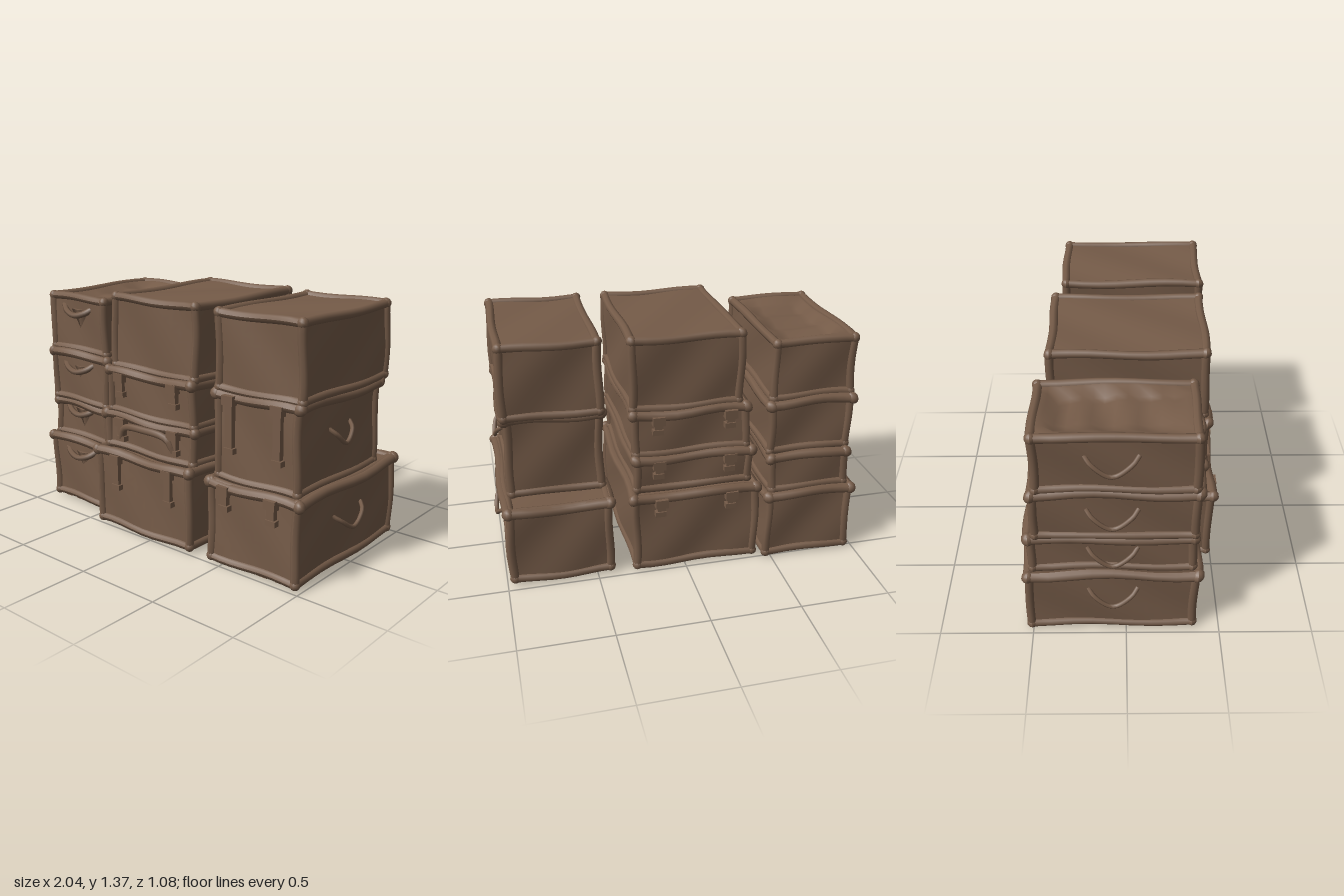
import * as THREE from 'three';
import { mergeGeometries } from 'three/addons/utils/BufferGeometryUtils.js';

const leather = new THREE.MeshStandardMaterial({ color: 0x755b48, side: THREE.DoubleSide });
leather.name = 'worn brown leather';

const V = (x, y, z) => new THREE.Vector3(x, y, z);

// gentle dents, a smooth rule of position so neighbouring parts stay joined
function dent(geo, amount = 0.006) {
  const p = geo.attributes.position;
  for (let i = 0; i < p.count; i++) {
    const x = p.getX(i), y = p.getY(i), z = p.getZ(i);
    p.setXYZ(i,
      x + amount * Math.sin(y * 13 + z * 9 + x * 3),
      Math.max(0, y + amount * Math.sin(x * 11 + z * 8 + 1)),
      z + amount * Math.sin(x * 12 + y * 10 + 2));
  }
  geo.computeVertexNormals();
  return geo;
}

function add(group, name, geo) {
  const m = new THREE.Mesh(geo, leather);
  m.name = name;
  group.add(m);
  return m;
}

// round bar between two points
function bar(a, b, r) {
  const d = b.clone().sub(a);
  const g = new THREE.CylinderGeometry(r, r, d.length(), 8, 8);
  g.applyQuaternion(new THREE.Quaternion().setFromUnitVectors(V(0, 1, 0), d.normalize()));
  return g.translate((a.x + b.x) / 2, (a.y + b.y) / 2, (a.z + b.z) / 2);
}

const box = (w, h, d, x, y, z) => new THREE.BoxGeometry(w, h, d, 3, 3, 3).translate(x, y, z);

const tube = (pts, r) => new THREE.TubeGeometry(new THREE.CatmullRomCurve3(pts), 16, r, 6);

// trunk: panelled body, rounded edge rims, corner caps, lid band
function trunk(parent, name, [x0, x1], [y0, y1], [z0, z1], sunkenTop) {
  const g = new THREE.Group();
  g.name = name;
  parent.add(g);
  const w = x1 - x0, h = y1 - y0, d = z1 - z0;
  const cx = (x0 + x1) / 2, cy = (y0 + y1) / 2, cz = (z0 + z1) / 2;
  const inset = 0.018, r = 0.024;
  const body = new THREE.BoxGeometry(w - 2 * inset, h - 2 * inset, d - 2 * inset, 10, 8, 14);
  if (sunkenTop) {
    const p = body.attributes.position;
    for (let i = 0; i < p.count; i++) {
      const x = p.getX(i), z = p.getZ(i);
      if (p.getY(i) > h / 2 - inset - 0.001 && Math.abs(x) < w * 0.28 && Math.abs(z) < d * 0.36)
        p.setY(i, p.getY(i) - 0.03 + 0.012 * Math.sin(z * 30 + x * 6));
    }
  }
  add(g, 'body', dent(body.translate(cx, cy, cz), 0.007));

  const X = [x0 + r, x1 - r], Y = [y0 + r, y1 - r], Z = [z0 + r, z1 - r];
  const parts = [];
  for (const i of [0, 1]) for (const j of [0, 1]) {
    parts.push(bar(V(X[0], Y[i], Z[j]), V(X[1], Y[i], Z[j]), r));
    parts.push(bar(V(X[i], Y[0], Z[j]), V(X[i], Y[1], Z[j]), r));
    parts.push(bar(V(X[i], Y[j], Z[0]), V(X[i], Y[j], Z[1]), r));
    for (const k of [0, 1])
      parts.push(new THREE.SphereGeometry(r * 1.2, 10, 8).translate(X[i], Y[j], Z[k]));
  }
  add(g, 'edgeRims', dent(mergeGeometries(parts), 0.005));
  return g;
}

// protruding band where a lid meets the trunk above
function lidBand(group, [x0, x1], y, [z0, z1]) {
  const r = 0.028, c = [V(x0, y, z0), V(x1, y, z0), V(x1, y, z1), V(x0, y, z1)];
  const parts = c.map((a, i) => bar(a, c[(i + 1) % 4], r));
  c.forEach(a => parts.push(new THREE.SphereGeometry(r * 1.2, 10, 8).translate(a.x, a.y, a.z)));
  add(group, 'lidBand', dent(mergeGeometries(parts), 0.008));
}

// sagging handle on a side wall, s = +1 or -1
function sideHandle(group, x, y, z, s, half = 0.13) {
  add(group, 'sideHandle', tube([
    V(x - s * 0.02, y + 0.05, z - half), V(x + s * 0.015, y + 0.02, z - half * 0.75),
    V(x + s * 0.03, y - 0.04, z), V(x + s * 0.015, y + 0.02, z + half * 0.75),
    V(x - s * 0.02, y + 0.05, z + half)], 0.012));
}

// front handle: raised grip with a pointed flap beneath
function frontHandle(group, x, y, z) {
  add(group, 'frontHandle', tube([
    V(x - 0.13, y + 0.04, z - 0.03), V(x - 0.08, y + 0.01, z),
    V(x, y - 0.01, z + 0.015), V(x + 0.08, y + 0.01, z), V(x + 0.12, y + 0.04, z - 0.03)], 0.018));
  const flap = new THREE.ConeGeometry(0.075, 0.11, 4, 1).scale(1, 1, 0.3);
  flap.rotateX(Math.PI).translate(x + 0.02, y - 0.03, z - 0.015);
  add(group, 'handleFlap', flap);
}

// hanging buckle strap on a front or back wall
function buckle(group, x, yTop, z, length, s = 1) {
  add(group, 'buckleStrap', mergeGeometries([
    box(0.045, length, 0.03, x, yTop - length / 2, z),
    box(0.07, 0.05, 0.04, x, yTop - 0.025, z + s * 0.008),
    box(0.06, 0.03, 0.035, x + 0.005, yTop - length + 0.01, z + s * 0.005)]));
}

// floor slats running front to back
function slats(group, [x0, x1], [z0, z1]) {
  const n = 4, step = (x1 - x0) / (n + 1);
  for (let i = 1; i <= n; i++)
    add(group, 'floorSlat', box(step * 0.55, 0.025, z1 - z0 - 0.06, x0 + step * i, 0.018, (z0 + z1) / 2));
}

export function createModel() {
  const model = new THREE.Group();
  model.name = 'trunkStacks';

  // left-hand column as seen from the front: four narrow trunks
  const a = new THREE.Group();
  a.name = 'narrowStack';
  model.add(a);
  const rowsA = [
    [[-0.97, -0.45], [0.01, 0.42], [-0.53, 0.38]],
    [[-0.94, -0.47], [0.41, 0.65], [-0.51, 0.36]],
    [[-0.95, -0.46], [0.64, 0.96], [-0.48, 0.37]],
    [[-0.955, -0.47], [0.95, 1.305], [-0.465, 0.36]],
  ];
  rowsA.forEach(([x, y, z], i) => {
    const t = trunk(a, 'narrowTrunk' + (i + 1), x, y, z, i === 3);
    const hy = [0.31, 0.58, 0.85, 1.19][i];
    frontHandle(t, -0.72, hy, z[1] - 0.005);
    sideHandle(t, x[0], hy - 0.06, -0.07, -1);
    if (i < 3) lidBand(t, [x[0] + 0.015, x[1] - 0.015], y[1] - 0.02, [z[0] + 0.015, z[1] - 0.015]);
  });
  slats(a, rowsA[0][0], rowsA[0][2]);

  // middle column: two tall trunks with two flat cases between
  const b = new THREE.Group();
  b.name = 'wideStack';
  model.add(b);
  const rowsB = [
    [[-0.43, 0.30], [0.005, 0.47], [-0.48, 0.50]],
    [[-0.40, 0.285], [0.46, 0.68], [-0.43, 0.45]],
    [[-0.375, 0.285], [0.67, 0.94], [-0.42, 0.45]],
    [[-0.34, 0.295], [0.93, 1.36], [-0.41, 0.44]],
  ];
  rowsB.forEach(([x, y, z], i) => {
    const t = trunk(b, 'wideTrunk' + (i + 1), x, y, z);
    if (i < 3) {
      lidBand(t, [x[0] + 0.015, x[1] - 0.015], y[1] - 0.02, [z[0] + 0.015, z[1] - 0.015]);
      sideHandle(t, x[0], (y[0] + y[1]) / 2, 0, -1);
      for (const bx of [-0.26, 0.14]) {
        buckle(t, bx, y[1] - 0.02, z[1] - 0.005, i ? 0.13 : 0.2);
        buckle(t, bx, y[1] - 0.02, z[0] + 0.005, 0.1, -1);
      }
    }
  });
  add(b, 'frontGrip', tube([
    V(-0.26, 0.54, 0.45), V(-0.22, 0.61, 0.465), V(-0.06, 0.63, 0.475),
    V(0.1, 0.61, 0.465), V(0.14, 0.54, 0.45)], 0.02));
  slats(b, rowsB[0][0], rowsB[0][2]);

  // right-hand column: deep base trunk and two shorter ones
  const c = new THREE.Group();
  c.name = 'steppedStack';
  model.add(c);
  const rowsC = [
    [[0.405, 0.985], [0.01, 0.48], [-0.475, 0.49]],
    [[0.42, 0.955], [0.46, 0.95], [-0.315, 0.45]],
    [[0.42, 0.97], [0.93, 1.36], [-0.365, 0.45]],
  ];
  rowsC.forEach(([x, y, z], i) => {
    const t = trunk(c, 'steppedTrunk' + (i + 1), x, y, z);
    if (i < 2) {
      sideHandle(t, x[1], [0.25, 0.72][i], [0.01, 0.07][i], 1, [0.14, 0.1][i]);
      sideHandle(t, x[0], [0.25, 0.72][i], 0, -1, 0.1);
      lidBand(t, [x[0] + 0.015, x[1] - 0.01], y[1] - 0.03, [z[0] + 0.015, z[1] - 0.015]);
      for (const bx of [0.53, 0.83]) buckle(t, bx, y[1] - 0.02, z[1], i ? 0.3 : 0.13);
    }
  });
  slats(c, rowsC[0][0], rowsC[0][2]);

  return model;
}
